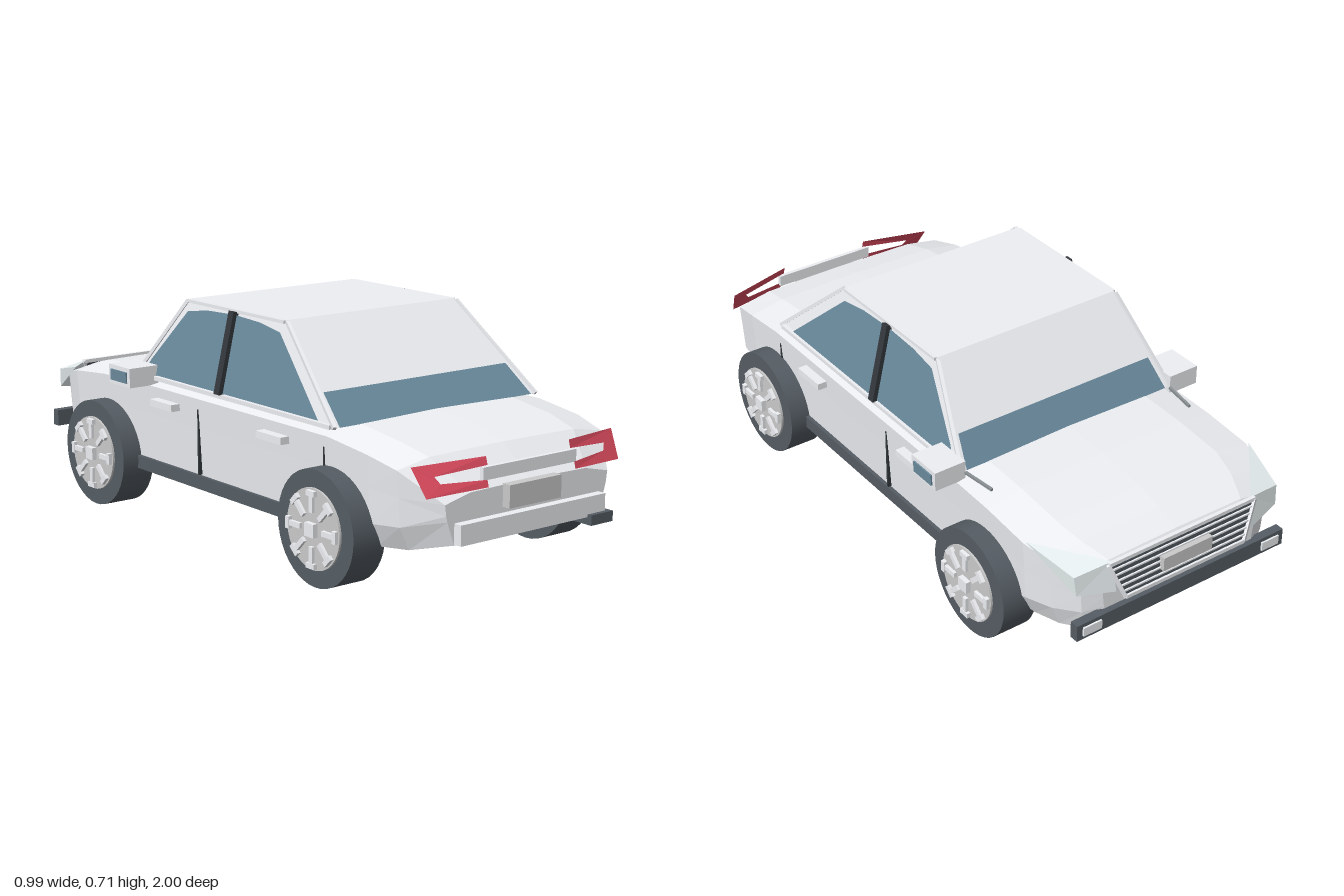
import * as THREE from 'three';

const V = (x, y, z) => new THREE.Vector3(x, y, z);
const BODY = 0xeef0f4, GLASS = 0x6a8a9c, DARK = 0x555d64, BLACK = 0x33383c, RED = 0xdf4c60, PLATE = 0xcccccc, LAMP = 0xe6eeef;

export function createModel() {
  const car = new THREE.Group();
  const add = (name, geo, color = BODY, side = THREE.FrontSide, parent = car) => {
    const m = new THREE.Mesh(geo, new THREE.MeshStandardMaterial({ color, side, flatShading: true }));
    m.name = name;
    parent.add(m);
    return m;
  };
  // box given by two opposite corners
  const box = (name, a, b, color, parent) => {
    const size = [0, 1, 2].map(i => Math.abs(b[i] - a[i]));
    const m = add(name, new THREE.BoxGeometry(...size), color, THREE.FrontSide, parent);
    m.position.set(...[0, 1, 2].map(i => (a[i] + b[i]) / 2));
  };
  // thin bar between two points
  const bar = (name, a, b, t, color) => {
    const m = add(name, new THREE.BoxGeometry(t, t, a.distanceTo(b)), color);
    m.position.copy(a).add(b).multiplyScalar(0.5);
    m.lookAt(b);
  };
  // skin stretched over rows of points
  const grid = rows => {
    const n = rows[0].length, idx = [];
    for (let i = 0; i + 1 < rows.length; i++)
      for (let j = 0; j + 1 < n; j++) {
        const a = i * n + j, b = a + n;
        idx.push(a, b, b + 1, a, b + 1, a + 1);
      }
    const g = new THREE.BufferGeometry().setFromPoints(rows.flat());
    g.setIndex(idx);
    const out = g.toNonIndexed();
    out.computeVertexNormals();
    return out;
  };
  // flat convex panel, seen from both sides
  const panel = (name, pts, color) => {
    const tris = [];
    for (let i = 1; i + 1 < pts.length; i++) tris.push(pts[0], pts[i], pts[i + 1]);
    const g = new THREE.BufferGeometry().setFromPoints(tris);
    g.computeVertexNormals();
    add(name, g, color, THREE.DoubleSide);
  };

  // lower body, open below: z, half width, top height, bottom height, bottom half width
  const stations = [
    [-0.965, 0.28, 0.35, 0.175, 0.27], [-0.94, 0.34, 0.385, 0.165, 0.31], [-0.86, 0.385, 0.413, 0.15, 0.35],
    [-0.77, 0.41, 0.435, 0.14, 0.37], [-0.6, 0.41, 0.45, 0.15, 0.4], [-0.42, 0.41, 0.455, 0.155, 0.4],
    [0.57, 0.41, 0.455, 0.155, 0.4], [0.74, 0.405, 0.434, 0.14, 0.37], [0.85, 0.39, 0.408, 0.15, 0.35],
    [0.957, 0.31, 0.32, 0.175, 0.28]];
  const section = ([z, w, t, b, wb]) => {
    const half = [[wb, b], [w * 0.985, b + 0.07], [w, b + (t - b) * 0.6], [w * 1.015, t - 0.025], [w * 0.72, t - 0.004]];
    return [...half.map(([x, y]) => V(-x, y, z)), V(0, t, z), ...half.reverse().map(([x, y]) => V(x, y, z))];
  };
  const rows = stations.map(section);
  const cap = ([z, , , b]) => rows[0].map(() => V(0, b, z));
  add('bodyShell', grid([cap(stations[0]), ...rows, cap(stations.at(-1))]), BODY, THREE.DoubleSide);

  // cabin
  const sideX = y => 0.39 - (y - 0.45) * 0.235;
  const ends = { rear: [0.575, 0.27], front: [-0.44, -0.23] };
  const yB = 0.45, yR = 0.712;
  const corner = (s, e, k, off = 0) => V(s * (sideX(yB + (yR - yB) * k) + off), yB + (yR - yB) * k, ends[e][0] + (ends[e][1] - ends[e][0]) * k);
  panel('roof', [corner(-1, 'front', 1), corner(-1, 'rear', 1), corner(1, 'rear', 1), corner(1, 'front', 1)]);
  for (const e of ['front', 'rear']) {
    panel(e + 'ScreenUpper', [corner(-1, e, 0.32), corner(1, e, 0.32), corner(1, e, 1), corner(-1, e, 1)]);
    panel(e + 'ScreenGlass', [corner(-1, e, 0, -0.016), corner(1, e, 0, -0.016), corner(1, e, 0.32, -0.014), corner(-1, e, 0.32, -0.014)], GLASS);
    for (const s of [-1, 1]) {
      panel(e + 'ScreenEdge', [corner(s, e, 0), corner(s, e, 0, -0.016), corner(s, e, 0.32, -0.014), corner(s, e, 0.32)]);
      bar(e + 'Pillar', corner(s, e, 0, 0.003), corner(s, e, 0.98, 0.001), 0.011);
    }
  }

  for (const s of [-1, 1]) {
    panel('cabinSide', [corner(s, 'front', 0), corner(s, 'rear', 0), corner(s, 'rear', 1), corner(s, 'front', 1)]);
    const pane = pts => pts.map(([z, y]) => V(s * (sideX(y) + 0.006), y, z));
    panel('rearSideGlass', pane([[0.5, 0.46], [0.03, 0.46], [0.03, 0.695], [0.15, 0.69], [0.255, 0.675]]), GLASS);
    panel('frontSideGlass', pane([[0.01, 0.46], [-0.4, 0.46], [-0.37, 0.505], [-0.22, 0.675], [-0.12, 0.69], [0.01, 0.695]]), GLASS);
    bar('centrePillar', V(s * 0.397, 0.455, 0.02), V(s * 0.337, 0.705, 0.02), 0.026, BLACK);
    bar('roofGutter', V(s * 0.332, 0.706, -0.225), V(s * 0.332, 0.706, 0.265), 0.01);
    box('beltTrim', [s * 0.385, 0.445, -0.41], [s * 0.402, 0.458, 0.56]);

    // doors, sills and mirrors
    for (const z of [-0.23, 0.33]) box('doorHandle', [s * 0.385, 0.375, z - 0.06], [s * 0.445, 0.397, z + 0.06]);
    box('frontDoorSeam', [s * 0.4, 0.19, -0.074], [s * 0.414, 0.425, -0.067], BLACK);
    box('rearDoorSeam', [s * 0.4, 0.34, 0.548], [s * 0.414, 0.425, 0.555], BLACK);
    box('sill', [s * 0.402, 0.145, -0.44], [s * 0.414, 0.187, 0.44], DARK);
    box('mirror', [s * 0.385, 0.43, -0.45], [s * 0.492, 0.492, -0.33]);
    box('mirrorGlass', [s * 0.48, 0.443, -0.435], [s * 0.497, 0.478, -0.345], GLASS);
    bar('wiper', V(s * 0.385, 0.452, -0.45), V(s * 0.37, 0.449, -0.56), 0.008, 0x8c9296);

    // wheels with a ring of short spokes
    for (const z of [-0.583, 0.583]) {
      const wheel = new THREE.Group();
      wheel.name = z < 0 ? 'frontWheel' : 'rearWheel';
      wheel.position.set(s * 0.413, 0.1725, z);
      wheel.rotation.y = s < 0 ? Math.PI : 0;
      car.add(wheel);
      const disc = (name, r, x0, x1, color) => {
        const m = add(name, new THREE.CylinderGeometry(r, r, x1 - x0, 40), color, THREE.FrontSide, wheel);
        m.material.flatShading = false;
        m.rotation.z = Math.PI / 2;
        m.position.x = (x0 + x1) / 2;
      };
      disc('tyre', 0.1725, -0.057, 0.057, DARK);
      disc('rim', 0.12, 0.05, 0.064, PLATE);
      box('hub', [0.06, -0.02, -0.02], [0.08, 0.02, 0.02], BODY, wheel);
      for (let i = 0; i < 8; i++) {
        const spoke = new THREE.Group();
        spoke.name = 'spoke';
        spoke.rotation.x = i * Math.PI / 4;
        wheel.add(spoke);
        box('spokeStem', [0.06, 0.05, -0.008], [0.074, 0.1, 0.008], BODY, spoke);
        box('spokeHead', [0.06, 0.098, -0.018], [0.076, 0.114, 0.018], BODY, spoke);
      }
    }

    // C-shaped tail lamp, a thin leaning sheet swept round the corner
    const outline = [[0.16, 0.408], [0.388, 0.4], [0.372, 0.318], [0.168, 0.325], [0.168, 0.345], [0.315, 0.35], [0.328, 0.37], [0.16, 0.384]];
    const lamp = new THREE.ShapeGeometry(new THREE.Shape(outline.map(([x, y]) => new THREE.Vector2(s * x, y))));
    const p = lamp.attributes.position;
    for (let i = 0; i < p.count; i++) {
      const out = Math.abs(p.getX(i)) - 0.16;
      p.setZ(i, 0.95 - out * 0.25 + (0.408 - p.getY(i)) * (0.28 + 1.2 * out));
    }
    lamp.computeVertexNormals();
    add('tailLamp', lamp, RED, THREE.DoubleSide);

    // headlamp wedge and front lamp
    const tip = V(s * 0.415, 0.42, -0.78), a = V(s * 0.255, 0.398, -0.968), b = V(s * 0.375, 0.382, -0.95);
    const c = V(s * 0.25, 0.3, -0.985), d = V(s * 0.37, 0.32, -0.957);
    panel('headlampTop', [tip, a, b], LAMP);
    panel('headlampFace', [a, c, d, b], LAMP);
    panel('headlampSide', [tip, b, d], LAMP);
    box('bumperLamp', [s * 0.3, 0.196, -0.99], [s * 0.365, 0.225, -0.975]);
  }

  // front end: leaning grille standing ahead of the bonnet
  const across = (y, z, w) => [V(-w, y, z), V(w, y, z)];
  const [t0, t1] = across(0.392, -0.97, 0.27), [b0, b1] = across(0.272, -0.99, 0.22);
  panel('grille', [t0, t1, b1, b0], 0x4a5157);
  [[t0, t1], [t1, b1], [b1, b0], [b0, t0]].forEach(([u, v]) => bar('grilleFrame', u, v, 0.012));
  for (let i = 1; i < 6; i++) bar('grilleSlat', ...across(0.272 + i * 0.02, -0.992 + i * 0.0033, 0.215 + i * 0.008), 0.005);
  box('frontPlate', [-0.09, 0.305, -0.998], [0.09, 0.35, -0.978], PLATE);
  box('frontBumper', [-0.385, 0.183, -0.984], [0.385, 0.237, -0.955], DARK);

  // rear end
  box('tailBar', [-0.18, 0.343, 0.948], [0.18, 0.38, 0.962]);
  box('rearPlate', [-0.1, 0.255, 0.955], [0.1, 0.322, 0.985], PLATE);
  box('rearBumper', [-0.28, 0.178, 0.95], [0.28, 0.238, 0.985]);
  box('exhaust', [0.21, 0.155, 0.91], [0.298, 0.186, 1.0], DARK);
  return car;
}
